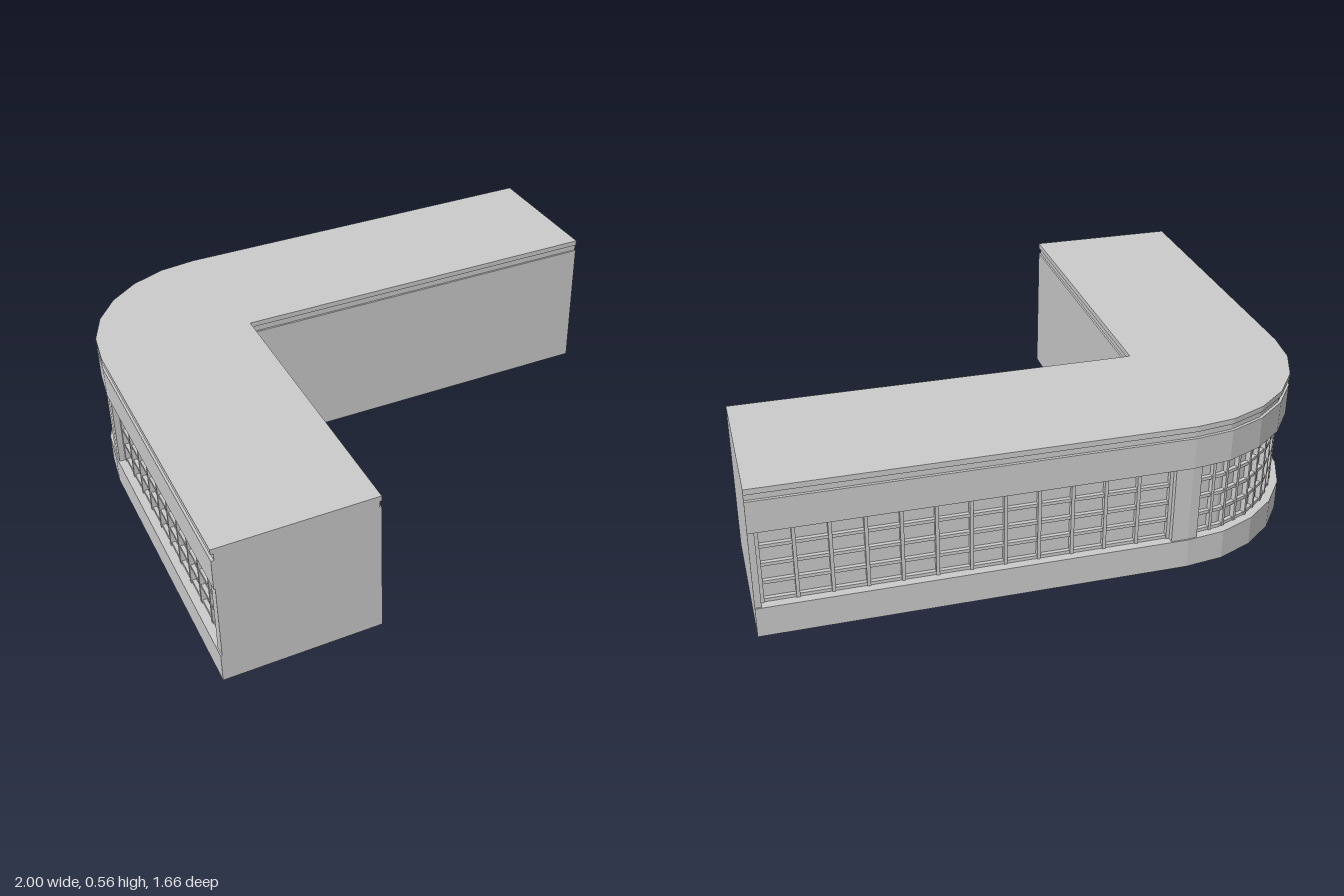
import * as THREE from 'three';

const material = new THREE.MeshStandardMaterial({ color: 0xcccccc, flatShading: true });
const CX = -0.47, CZ = -0.30, R = 0.53, SEGS = 6;   // rounded street corner
const IX = -0.435, IZ = -0.29, END = 0.83;          // courtyard corner and wing end
const SILL = 0.11, HEAD = 0.395, RECESS = 0.045;

// Point on the street facade, inset by o. t < 0 runs along the back wing,
// 0..6 counts the facets of the corner, t > 6 runs along the side wing.
function facade(t, o) {
  const r = R - o;
  if (t < 0) return [CX - t, CZ - r];
  if (t > SEGS) return [CX - r, CZ + t - SEGS];
  const corner = (k) => {
    const a = (k / SEGS) * Math.PI / 2;
    return [CX - r * Math.sin(a), CZ - r * Math.cos(a)];
  };
  const k = Math.min(Math.floor(t), SEGS - 1), f = t - k;
  const p = corner(k), q = corner(k + 1);
  return [p[0] + (q[0] - p[0]) * f, p[1] + (q[1] - p[1]) * f];
}

// Facade points from t0 to t1, including every facet corner between them
function run(t0, t1, o) {
  const ts = [t0];
  for (let k = 0; k <= SEGS; k++) if (k > t0 && k < t1) ts.push(k);
  return [...ts, t1].map((t) => facade(t, o));
}

// L-shaped plan, inset on street side, courtyard side and wing ends
function plan(street, yard = 0, ends = 0) {
  return [
    ...run(CX - 1 + ends, SEGS + END - CZ - ends, street),
    [IX - yard, END - ends], [IX - yard, IZ - yard], [1 - ends, IZ - yard],
  ];
}

const toVectors = (pts) => pts.map(([x, z]) => new THREE.Vector2(x, -z));

// Prism over a plan polygon between two heights
function prism(group, name, pts, y0, y1, hole) {
  const shape = new THREE.Shape(toVectors(pts));
  if (hole) shape.holes.push(new THREE.Path(toVectors(hole)));
  const geometry = new THREE.ExtrudeGeometry(shape, { depth: y1 - y0, bevelEnabled: false });
  geometry.rotateX(-Math.PI / 2).translate(0, y0, 0);
  const mesh = new THREE.Mesh(geometry, material);
  mesh.name = name;
  group.add(mesh);
}

// Strip following the facade, from inset o0 to inset o1
function strip(group, name, t0, t1, o0, o1, y0, y1) {
  prism(group, name, [...run(t0, t1, o0), ...run(t0, t1, o1).reverse()], y0, y1);
}

// One bay of glazing bars
function windowBay(name, t0, t1, columns, halfWidth) {
  const bay = new THREE.Group();
  bay.name = name;
  const rows = 4, h = 0.006;
  for (let i = 0; i <= columns; i++) {
    const t = t0 + halfWidth + ((t1 - t0 - 2 * halfWidth) * i) / columns;
    strip(bay, 'mullion', t - halfWidth, t + halfWidth, 0.027, RECESS + 0.002, SILL, HEAD);
  }
  for (let j = 0; j <= rows; j++) {
    const y = SILL + h + ((HEAD - SILL - 2 * h) * j) / rows;
    strip(bay, 'transom', t0, t1, 0.031, RECESS + 0.002, y - h, y + h);
  }
  return bay;
}

// Thin rib on the underside between two plan points
function rib(group, a, b) {
  const dx = b[0] - a[0], dz = b[1] - a[1];
  const mesh = new THREE.Mesh(new THREE.BoxGeometry(Math.hypot(dx, dz), 0.012, 0.008), material);
  mesh.position.set((a[0] + b[0]) / 2, 0.015, (a[1] + b[1]) / 2);
  mesh.rotation.y = -Math.atan2(dz, dx);
  mesh.name = 'floorRib';
  group.add(mesh);
}

export function createModel() {
  const model = new THREE.Group();
  model.name = 'cornerBuilding';

  // Storey stacked from base to roof
  prism(model, 'baseRim', plan(0), 0, 0.02, plan(0.025, 0.025, 0.025));
  prism(model, 'lowerWall', plan(0), 0.02, SILL);
  prism(model, 'glazedCore', plan(RECESS), SILL, HEAD);
  prism(model, 'upperWall', plan(0), HEAD, 0.51);
  prism(model, 'corniceGroove', plan(0.01, 0.007), 0.51, 0.535);
  prism(model, 'roofSlab', plan(0), 0.535, 0.555);

  // Piers between and beside the window bays
  const piers = [[-1.47, -1.448], [-0.06, 0.25], [5.5, 6.03], [7.09, 7.13]];
  for (const [t0, t1] of piers) strip(model, 'pier', t0, t1, 0.005, RECESS + 0.002, SILL, HEAD);

  // Window bays
  model.add(windowBay('backWindows', -1.448, -0.06, 12, 0.006));
  model.add(windowBay('cornerWindows', 0.25, 5.5, 12, 0.04));
  model.add(windowBay('sideWindows', 6.03, 7.09, 10, 0.006));

  // Underside panels: cross ribs in the wings, a fan at the corner
  const underside = new THREE.Group();
  underside.name = 'undersideRibs';
  for (let i = 1; i < 5; i++) {
    const x = IX + ((1 - IX) * i) / 5;
    rib(underside, [x, IZ - 0.02], [x, -END + 0.02]);
  }
  for (let i = 1; i < 4; i++) {
    const z = IZ + ((END - IZ) * i) / 4;
    rib(underside, [IX - 0.02, z], [-0.98, z]);
  }
  for (let i = 0; i <= 12; i++) rib(underside, [CX, CZ - 0.01], facade(i / 2, 0.02));
  model.add(underside);

  return model;
}
